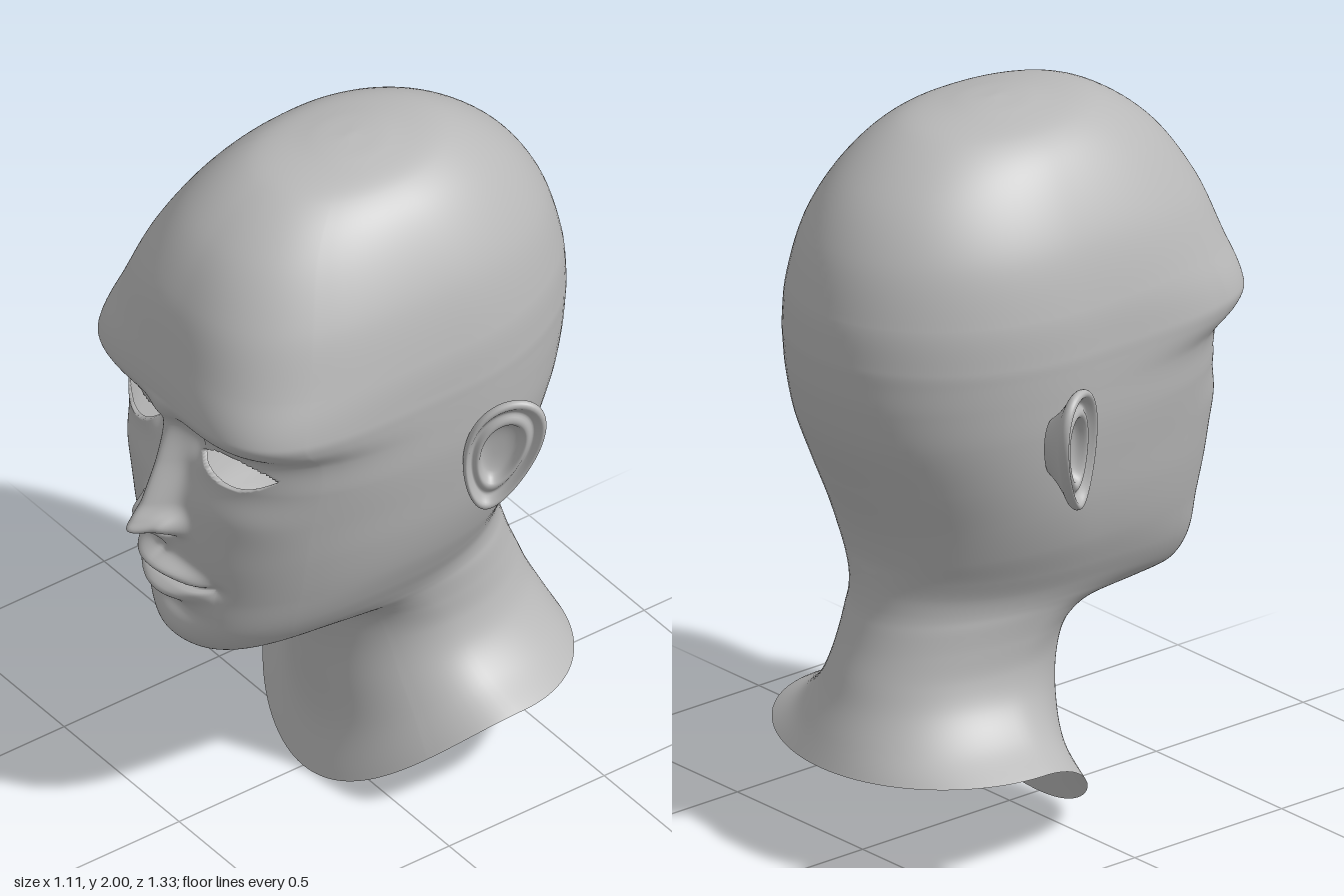
import * as THREE from 'three';
import { mergeVertices } from 'three/addons/utils/BufferGeometryUtils.js';

// Cross-section rings from crown to neck:
// [frontY, frontZ, sideY, halfWidth, sideZ, backY, backZ, frontSquareness]
const SKULL = [
  [2.0, -0.05, 2.0, 0, -0.05, 2.0, -0.05, 2],
  [1.994, 0.07, 1.99, 0.10, -0.05, 1.994, -0.17, 2],
  [1.966, 0.244, 1.955, 0.21, -0.06, 1.962, -0.34, 2.2],
  [1.86, 0.40, 1.87, 0.30, -0.08, 1.85, -0.50, 2.4],
  [1.71, 0.50, 1.72, 0.385, -0.1, 1.71, -0.60, 2.7],
  [1.55, 0.55, 1.55, 0.432, -0.1, 1.55, -0.65, 3.2],
];
const FACE = [
  [1.43, 0.572, 1.43, 0.444, -0.1, 1.43, -0.66, 4.1],
  [1.39, 0.556, 1.39, 0.444, -0.1, 1.38, -0.657, 4],
  [1.33, 0.507, 1.32, 0.442, -0.1, 1.30, -0.648, 3.2],
  [1.22, 0.510, 1.22, 0.437, -0.1, 1.18, -0.62, 2.9],
  [1.10, 0.540, 1.10, 0.422, -0.1, 1.04, -0.563, 2.6],
  [0.95, 0.545, 0.98, 0.402, -0.07, 0.91, -0.51, 2.4],
  [0.80, 0.527, 0.87, 0.372, -0.03, 0.82, -0.486, 2.3],
  [0.67, 0.520, 0.78, 0.335, 0, 0.77, -0.482, 2.2],
];
const NECK = [
  [0.595, 0.475, 0.72, 0.305, 0, 0.72, -0.482, 2.1],
  [0.583, 0.39, 0.68, 0.286, -0.04, 0.67, -0.487, 2],
  [0.602, 0.20, 0.64, 0.273, -0.1, 0.62, -0.50, 2],
  [0.575, 0.118, 0.58, 0.263, -0.15, 0.56, -0.52, 2],
  [0.45, 0.082, 0.50, 0.262, -0.2, 0.49, -0.548, 2],
  [0.30, 0.070, 0.42, 0.290, -0.23, 0.42, -0.575, 2],
  [0.15, 0.068, 0.35, 0.355, -0.25, 0.345, -0.61, 2],
  [0.0, 0.10, 0.29, 0.455, -0.27, 0.27, -0.645, 2],
];

// Nose ridge: [y, projection, half width]
const NOSE = [
  [1.43, 0, 0.06], [1.36, 0.03, 0.045], [1.3, 0.045, 0.036], [1.2, 0.064, 0.034],
  [1.1, 0.08, 0.04], [1.055, 0.11, 0.045], [1.028, 0.122, 0.046], [1.008, 0.085, 0.045],
  [0.99, 0.05, 0.036], [0.96, 0.025, 0.03], [0.92, 0, 0.03],
];

const EYE = { x: 0.207, y: 1.272, w: 0.112, h: 0.052 };

// Smooth curve through rows of numbers, with knots placed by the given spacing
function spline(rows, knots) {
  const slope = (i, k) => {
    const a = Math.max(i - 1, 0), b = Math.min(i + 1, rows.length - 1);
    return (rows[b][k] - rows[a][k]) / (knots[b] - knots[a]);
  };
  return (i, f) => rows[i].map((p, k) => {
    const d = knots[i + 1] - knots[i], q = rows[i + 1][k], f2 = f * f, f3 = f2 * f;
    return p * (2 * f3 - 3 * f2 + 1) + q * (3 * f2 - 2 * f3)
      + d * (slope(i, k) * (f3 - 2 * f2 + f) + slope(i + 1, k) * (f3 - f2));
  });
}

const bump = (dx, dy, sx, sy) => Math.exp(-((dx / sx) ** 2) - (dy / sy) ** 2);

const noseCurve = spline(NOSE, NOSE.map(r => -r[0]));
function nose(x, y) {
  const i = NOSE.findIndex((r, k) => k < NOSE.length - 1 && y <= r[0] && y > NOSE[k + 1][0]);
  if (i < 0) return 0;
  const [, h, w] = noseCurve(i, (NOSE[i][0] - y) / (NOSE[i][0] - NOSE[i + 1][0]));
  return h * Math.exp(-((x / w) ** 2));
}

// Forward displacement of the face
function relief(x, y) {
  const ax = Math.abs(x), u = Math.min(ax / 0.15, 1), lip = 1 - u * u;
  let d = nose(x, y);
  d += 0.04 * bump(ax - 0.06, y - 1.04, 0.024, 0.03);           // nostril wings
  d -= 0.03 * bump(ax - 0.03, y - 1.0, 0.016, 0.012);           // nostrils
  d += 0.016 * bump(ax - EYE.x, y - EYE.y, 0.12, 0.07);         // eyelids
  d -= 0.02 * bump(ax - 0.085, y - 1.29, 0.03, 0.05);           // inner eye corners
  d += 0.01 * bump(ax - 0.27, y - 1.12, 0.1, 0.08);             // cheekbones
  d -= 0.01 * bump(x, y - 0.945, 0.014, 0.03);                  // philtrum
  d += 0.058 * lip * bump(0, y - 0.887 + 0.025 * u * u, 1, 0.028);  // upper lip
  d += 0.052 * lip * bump(0, y - 0.805 - 0.03 * u * u, 1, 0.032);   // lower lip
  d -= 0.035 * Math.sqrt(lip) * bump(0, y - 0.848, 1, 0.009);       // mouth line
  d -= 0.012 * bump(ax - 0.155, y - 0.848, 0.025, 0.025);       // mouth corners
  d -= 0.014 * bump(x, y - 0.735, 0.09, 0.025);                 // hollow under lip
  d += 0.016 * bump(x, y - 0.65, 0.11, 0.05);                   // chin
  return d;
}

// Scale that carries a point onto the almond eye outline (over 1 means inside)
function eyeScale(x, y) {
  const a = Math.max(((Math.abs(x) - EYE.x) / EYE.w) ** 2, 1e-6), b = Math.abs(y - EYE.y) / EYE.h;
  return (Math.sqrt(b * b + 4 * a) - b) / (2 * a);
}

function headGeometry() {
  const rings = [...SKULL, ...FACE, ...NECK], knots = [0];
  for (let i = 1; i < rings.length; i++) {
    const p = rings[i - 1], q = rings[i];
    knots.push(knots[i - 1] + Math.hypot(q[0] - p[0], q[1] - p[1], q[2] - p[2], q[3] - p[3], q[5] - p[5], q[6] - p[6]));
  }
  const ringAt = spline(rings, knots), samples = [];
  for (let i = 0; i < rings.length - 1; i++) {
    const face = i >= SKULL.length - 1 && i < SKULL.length + FACE.length;
    const gap = Math.abs(rings[i + 1][0] - rings[i][0]);
    const n = face ? Math.max(6, Math.ceil(gap / 0.0055)) : 8;
    for (let k = 0; k < n; k++) samples.push(ringAt(i, k / n));
  }
  samples.push(rings[rings.length - 1]);

  // Columns are closer together across the face
  const angles = [], F = 0.9, dense = 132, sparse = 64;
  for (let k = 0; k < dense; k++) angles.push(-F + 2 * F * k / dense);
  for (let k = 0; k < sparse; k++) angles.push(F + (2 * Math.PI - 2 * F) * k / sparse);

  const pos = [], inside = [], index = [], cols = angles.length;
  for (const [yf, zf, ys, w, zs, yb, zb, nf] of samples) {
    for (const a of angles) {
      const s = Math.sin(a), c = Math.cos(a), front = c > 0;
      const n = front ? nf : 2;
      const r = (Math.abs(s) ** n + Math.abs(c) ** n) ** (-1 / n);
      const t = Math.abs(r * c);
      let x = w * r * s;
      let y = ys + ((front ? yf : yb) - ys) * t * t;
      let z = zs + ((front ? zf : zb) - zs) * t;
      let hole = false;
      if (front && z > 0.2) {
        const k = eyeScale(x, y);
        hole = k > 1;
        if (hole) {
          const cx = Math.sign(x) * EYE.x;
          x = cx + (x - cx) * k;
          y = EYE.y + (y - EYE.y) * k;
        }
        z += relief(x, y) * THREE.MathUtils.smoothstep(z, 0.2, 0.4);
        if (hole) z -= 0.012;
      }
      pos.push(x, y, z);
      inside.push(hole);
    }
  }
  const tri = (a, b, c) => { if (!(inside[a] && inside[b] && inside[c])) index.push(a, b, c); };
  for (let i = 0; i < samples.length - 1; i++) {
    for (let j = 0; j < cols; j++) {
      const a = i * cols + j, d = i * cols + (j + 1) % cols;
      if (i > 0) tri(a, a + cols, d);
      tri(a + cols, d + cols, d);
    }
  }
  const g = new THREE.BufferGeometry();
  g.setAttribute('position', new THREE.Float32BufferAttribute(pos, 3));
  g.setIndex(index);
  const merged = mergeVertices(g, 1e-5);
  merged.computeVertexNormals();
  return merged;
}

// Ear: a turned shell (back, rolled rim, inner fold, hollow) bent to an ear outline
function earGeometry() {
  const shell = [[0.45, -0.075], [0.6, -0.05], [0.8, -0.026], [0.95, -0.012], [1, 0.002], [0.97, 0.014],
    [0.9, 0.015], [0.82, 0.002], [0.74, -0.006], [0.64, 0.004], [0.55, 0.002], [0.45, -0.022], [0.25, -0.032], [0, -0.034]];
  const curve = new THREE.SplineCurve(shell.map(p => new THREE.Vector2(...p)));
  let g = new THREE.LatheGeometry(curve.getPoints(44).map(p => p.setX(Math.max(p.x, 0))), 56);
  g.deleteAttribute('uv');
  g.deleteAttribute('normal');
  const p = g.attributes.position;
  for (let i = 0; i < p.count; i++) {
    const up = p.getX(i), out = p.getZ(i), depth = p.getY(i);
    const v = 0.183 * up;
    const u = 0.1 * out * (1 + 0.3 * up) + 0.16 * v;
    p.setXYZ(i, 0.482 + 0.45 * u + 0.89 * depth + 0.1 * v, 1.19 + v, -0.18 - 0.89 * u + 0.45 * depth);
  }
  g = mergeVertices(g, 1e-5);
  g.computeVertexNormals();
  return g;
}

export function createModel() {
  const model = new THREE.Group();
  const clay = new THREE.MeshStandardMaterial({ color: 0xb8b8b8, side: THREE.DoubleSide });
  clay.name = 'grey clay';

  const head = new THREE.Mesh(headGeometry(), clay);
  head.name = 'headAndNeck';
  model.add(head);

  const earShape = earGeometry();
  for (const side of [1, -1]) {
    const ear = new THREE.Mesh(earShape, clay);
    ear.name = side > 0 ? 'leftEar' : 'rightEar';
    ear.scale.x = side;
    model.add(ear);
  }
  return model;
}
